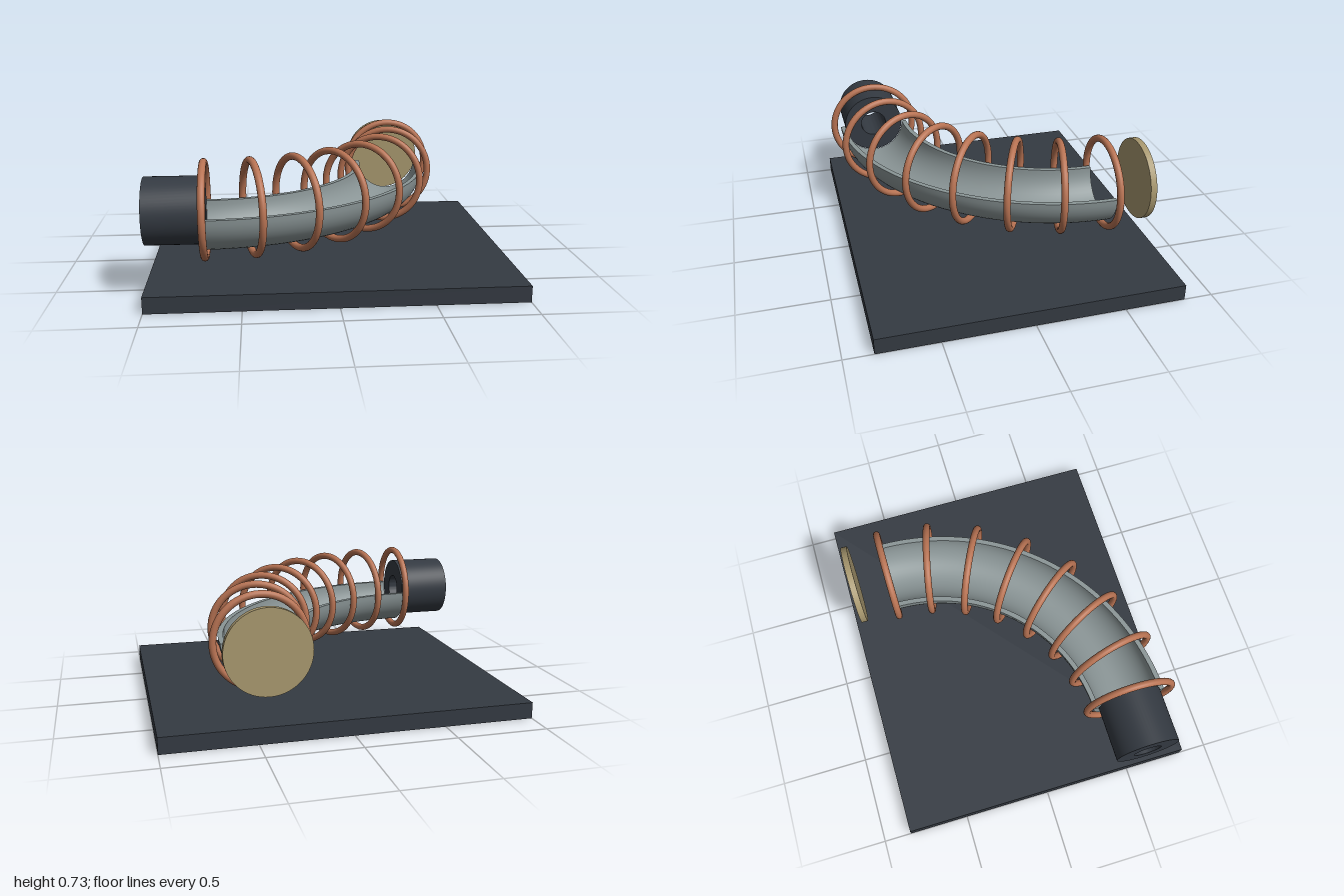
import * as THREE from 'three';
import { toCreasedNormals } from 'three/addons/utils/BufferGeometryUtils.js';

export function createModel() {
  const group = new THREE.Group();
  const mat = (name, color, side = THREE.FrontSide) => {
    const m = new THREE.MeshStandardMaterial({ color, side });
    m.name = name;
    return m;
  };
  const dark = mat('dark slate', 0x343a42);
  const steel = mat('grey steel', 0x8b9697, THREE.DoubleSide);
  const copper = mat('copper', 0xb87353);
  const tan = mat('tan', 0xa8986f);

  const add = (name, geometry, material, x, y, z, parent = group) => {
    const mesh = new THREE.Mesh(geometry, material);
    mesh.name = name;
    mesh.position.set(x, y, z);
    parent.add(mesh);
    return mesh;
  };

  // Quarter bend shared by the trough and the rings
  const bend = 1.125, cx = -0.69, cz = -0.567, axisY = 0.46;
  const endX = cx + bend, startZ = cz + bend;

  // Base plate
  add('basePlate', new THREE.BoxGeometry(2, 0.09, 1.68), dark, 0, 0.045, 0);

  // Half-pipe trough: lower half ring swept through the bend
  const outer = 0.21, inner = 0.182, steps = 24;
  const profile = [];
  for (let i = 0; i <= steps; i++) {
    const a = Math.PI + (Math.PI * i) / steps;
    profile.push(new THREE.Vector2(bend + outer * Math.cos(a), outer * Math.sin(a)));
  }
  for (let i = steps; i >= 0; i--) {
    const a = Math.PI + (Math.PI * i) / steps;
    profile.push(new THREE.Vector2(bend + inner * Math.cos(a), inner * Math.sin(a)));
  }
  const trough = new THREE.Group();
  trough.name = 'trough';
  trough.position.set(cx, axisY, cz);
  group.add(trough);
  const sweep = new THREE.LatheGeometry([...profile, profile[0].clone()], 64, 0, Math.PI / 2);
  add('troughWall', toCreasedNormals(sweep, 0.6), steel, 0, 0, 0, trough);
  const cap = new THREE.ShapeGeometry(new THREE.Shape(profile));
  add('troughStartCap', cap, steel, 0, 0, 0, trough).rotation.y = -Math.PI / 2;
  add('troughEndCap', cap, steel, 0, 0, 0, trough);

  // Eight rings spaced evenly around the bend
  const ringGeometry = new THREE.TorusGeometry(0.25, 0.02, 16, 64);
  for (let i = 0; i < 8; i++) {
    const a = (i / 7) * (Math.PI / 2);
    const ring = add(`ring${i + 1}`, ringGeometry, copper,
      cx + bend * Math.sin(a), axisY, cz + bend * Math.cos(a));
    ring.rotation.y = a + Math.PI / 2;
  }

  // Bored cylinder at the start of the bend
  const tube = new THREE.Shape().absarc(0, 0, 0.18, 0, Math.PI * 2, false);
  tube.holes.push(new THREE.Path().absarc(0, 0, 0.078, 0, Math.PI * 2, true));
  const sleeve = new THREE.ExtrudeGeometry(tube, { depth: 0.31, bevelEnabled: false, curveSegments: 32 });
  add('boredCylinder', toCreasedNormals(sleeve, 0.6), dark, -1, axisY, startZ).rotation.y = Math.PI / 2;

  // Target disc beyond the end of the bend
  add('targetDisc', new THREE.CylinderGeometry(0.23, 0.23, 0.036, 64), tan,
    endX, axisY, -0.772).rotation.x = Math.PI / 2;

  return group;
}
